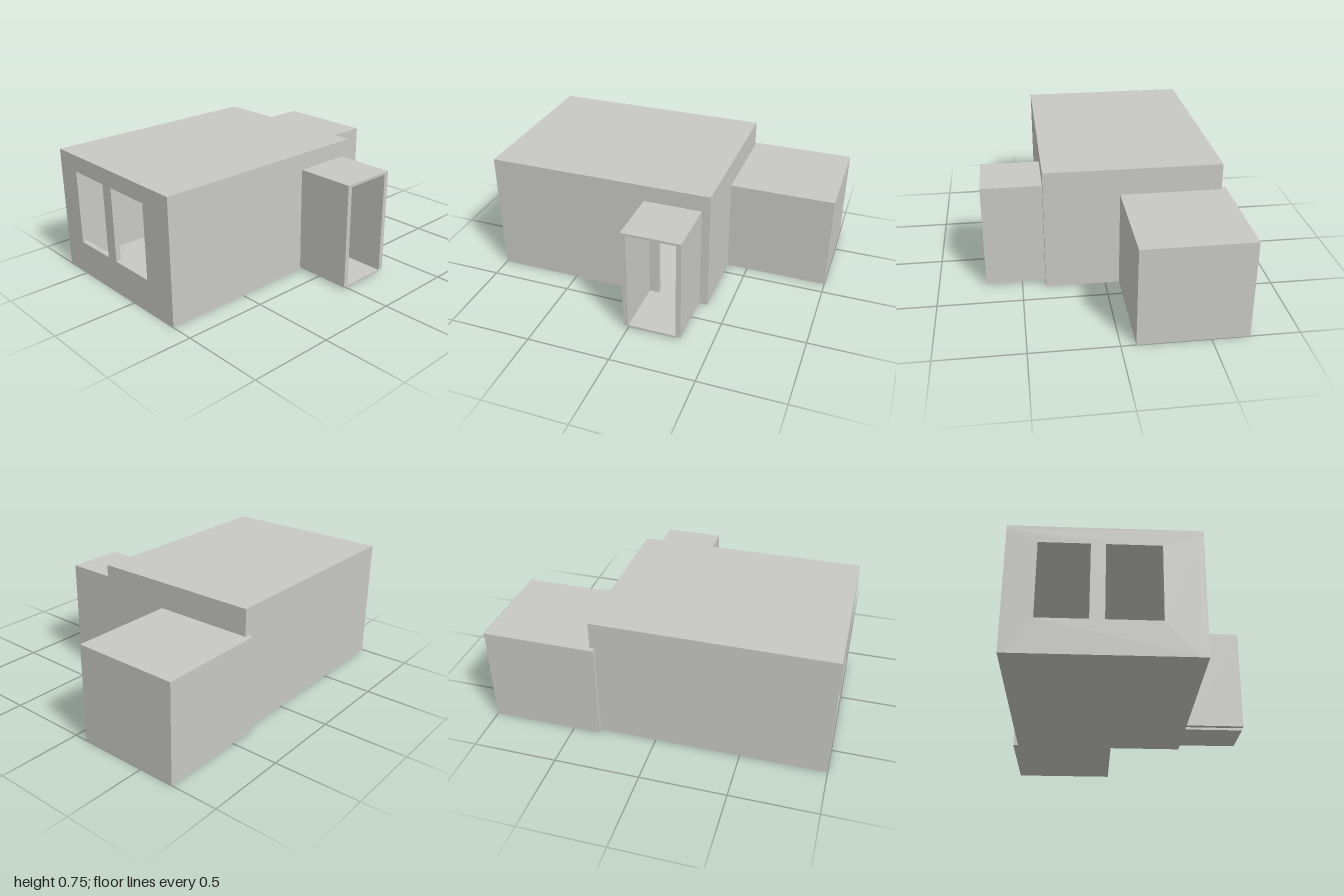
import * as THREE from 'three';

export function createModel() {
  const model = new THREE.Group();
  model.name = 'house';
  const plaster = new THREE.MeshStandardMaterial({ color: 0xc8c8c6 });
  plaster.name = 'pale grey plaster';

  // Box given by its lower and upper corners
  function block(parent, name, x0, x1, y0, y1, z0, z1) {
    const mesh = new THREE.Mesh(new THREE.BoxGeometry(x1 - x0, y1 - y0, z1 - z0), plaster);
    mesh.position.set((x0 + x1) / 2, (y0 + y1) / 2, (z0 + z1) / 2);
    mesh.name = name;
    parent.add(mesh);
    return mesh;
  }

  // Rectangular outline; openings are [u0, u1, y0, y1]
  function outline(target, u0, u1, y0, y1) {
    target.moveTo(u0, y0);
    target.lineTo(u1, y0);
    target.lineTo(u1, y1);
    target.lineTo(u0, y1);
    target.closePath();
    return target;
  }
  function wall(parent, name, size, depth, openings) {
    const shape = outline(new THREE.Shape(), ...size);
    for (const o of openings) shape.holes.push(outline(new THREE.Path(), ...o));
    const mesh = new THREE.Mesh(
      new THREE.ExtrudeGeometry(shape, { depth, bevelEnabled: false }), plaster);
    mesh.name = name;
    parent.add(mesh);
    return mesh;
  }
  function group(name) {
    const g = new THREE.Group();
    g.name = name;
    model.add(g);
    return g;
  }

  const T = 0.03;

  // Main room
  const main = group('mainRoom');
  block(main, 'floor', -1 + T, 0.34, 0, 0.015, -0.685 + T, 0.36 - T);
  block(main, 'roof', -1, 0.37, 0.72, 0.75, -0.685, 0.36);
  block(main, 'backWall', -1, 0.37, 0, 0.72, -0.685, -0.685 + T);
  wall(main, 'frontWall', [-1, 0.37, 0, 0.72], T, [[0.06, 0.23, 0.015, 0.51]])
    .position.z = 0.36 - T;

  // Side walls are drawn with u = -z, then turned to run along z
  const windowWall = wall(main, 'windowWall', [-0.33, 0.655, 0, 0.72], T,
    [[0.24, 0.52, 0.2, 0.65], [-0.14, 0.16, 0.2, 0.65]]);
  windowWall.rotation.y = Math.PI / 2;
  windowWall.position.x = -1;
  const sharedWall = wall(main, 'sharedWall', [-0.33, 0.655, 0, 0.72], T,
    [[0.32, 0.5, 0.015, 0.51]]);
  sharedWall.rotation.y = Math.PI / 2;
  sharedWall.position.x = 0.34;

  // Side room
  const annex = group('sideRoom');
  block(annex, 'floor', 0.37, 1 - T, 0, 0.015, -0.685, -0.085 - T);
  block(annex, 'roof', 0.37, 1, 0.56, 0.59, -0.685, -0.085);
  block(annex, 'backWall', 0.34, 1, 0, 0.59, -0.715, -0.685);
  block(annex, 'frontWall', 0.37, 1, 0, 0.56, -0.085 - T, -0.085);
  block(annex, 'outerWall', 1 - T, 1, 0, 0.56, -0.685, -0.085 - T);

  // Open porch
  const porch = group('porch');
  block(porch, 'floor', 0, 0.29, 0, 0.015, 0.36, 0.71);
  for (const x of [-0.03, 0.29]) block(porch, 'sideWall', x, x + T, 0.015, 0.635, 0.36, 0.715);
  block(porch, 'roof', -0.03, 0.32, 0.635, 0.65, 0.36, 0.715);

  // Cabinet facing the door
  const cabinet = group('cabinet');
  block(cabinet, 'base', 0.06, 0.125, 0.015, 0.115, -0.64, -0.5);
  block(cabinet, 'post', 0.125, 0.14, 0.015, 0.115, -0.52, -0.5);
  block(cabinet, 'shelf', 0.06, 0.205, 0.115, 0.125, -0.65, -0.48);
  block(cabinet, 'upperBox', 0.075, 0.215, 0.125, 0.25, -0.65, -0.5);

  // Desk with screen
  const desk = group('desk');
  for (const y of [0.1, 0.16]) block(desk, 'deskTop', -0.67, -0.3, y, y + 0.03, -0.02, 0.2);
  for (const x of [-0.66, -0.33]) {
    for (const z of [-0.01, 0.17]) block(desk, 'deskLeg', x, x + 0.02, 0.015, 0.16, z, z + 0.02);
  }
  block(desk, 'screen', -0.58, -0.42, 0.19, 0.29, 0.12, 0.14);

  // Bench against the front wall
  const bench = group('bench');
  block(bench, 'seat', -0.95, -0.7, 0.015, 0.11, 0.21, 0.31);
  block(bench, 'backrest', -0.95, -0.7, 0.015, 0.17, 0.31, 0.33);

  // Curved rail on the front wall
  const arc = new THREE.Mesh(new THREE.TorusGeometry(0.24, 0.006, 6, 32, Math.PI), plaster);
  arc.position.set(-0.64, 0.12, 0.32);
  arc.name = 'curvedRail';
  model.add(arc);

  return model;
}
